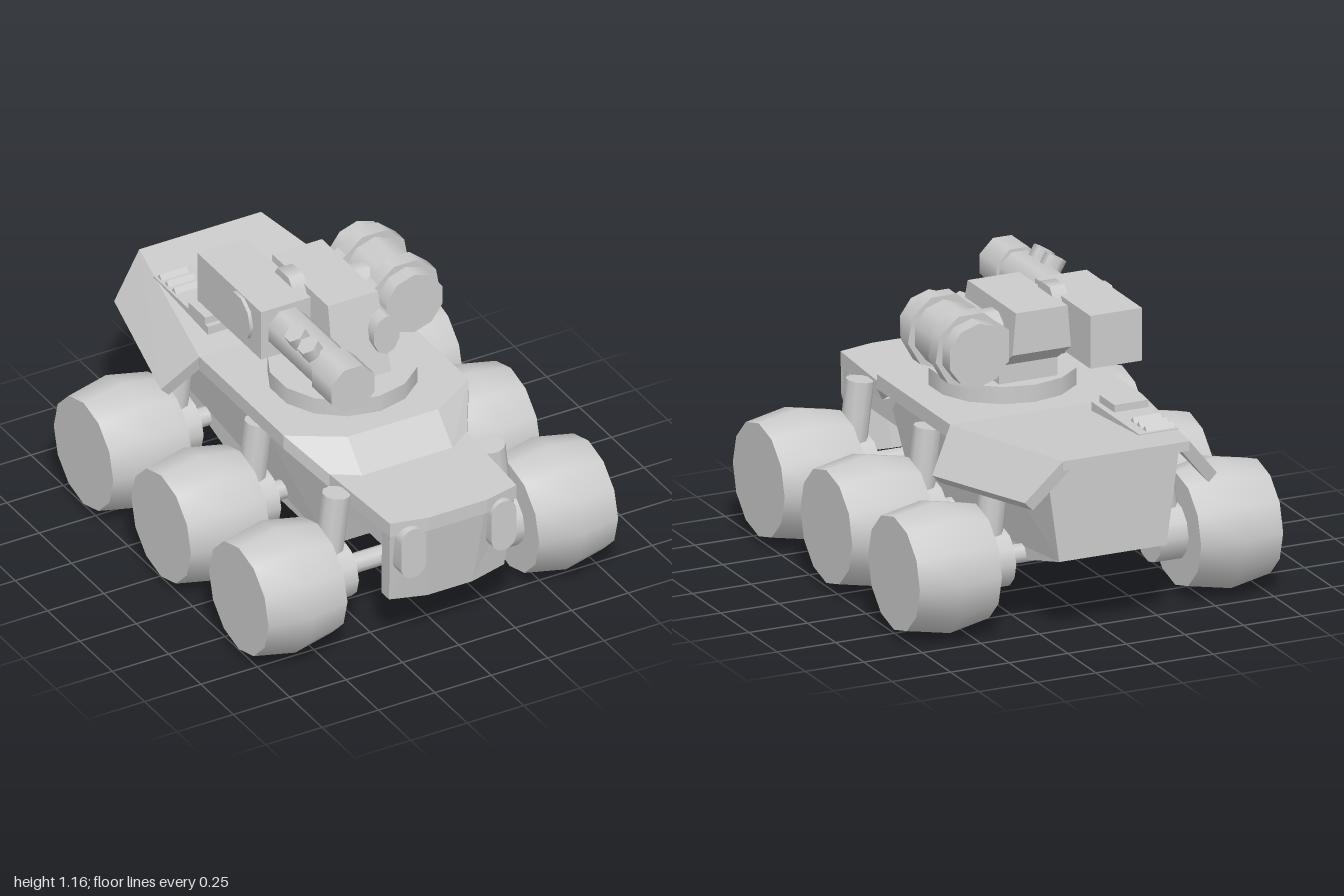
import * as THREE from 'three';
import { toCreasedNormals } from 'three/addons/utils/BufferGeometryUtils.js';

const grey = new THREE.MeshStandardMaterial({ color: 0xcccccc });
const V = (x, y, z) => new THREE.Vector3(x, y, z);

function add(parent, name, geometry, x = 0, y = 0, z = 0) {
  const mesh = new THREE.Mesh(geometry, grey);
  mesh.name = name;
  mesh.position.set(x, y, z);
  parent.add(mesh);
  return mesh;
}

function box(parent, name, x0, x1, y0, y1, z0, z1) {
  return add(parent, name, new THREE.BoxGeometry(x1 - x0, y1 - y0, z1 - z0),
    (x0 + x1) / 2, (y0 + y1) / 2, (z0 + z1) / 2);
}

// Cylinder between two points
function rod(parent, name, a, b, radius, sides = 12, turn = 0) {
  const g = new THREE.CylinderGeometry(radius, radius, a.distanceTo(b), sides);
  g.rotateY(turn);
  const mesh = add(parent, name, g);
  mesh.position.copy(a).lerp(b, 0.5);
  mesh.quaternion.setFromUnitVectors(V(0, 1, 0), b.clone().sub(a).normalize());
  return mesh;
}

// Convex armour plate: a polygon thickened along an offset
function slab(parent, name, points, offset) {
  let top = points.map(p => V(...p));
  const d = V(...offset);
  const n = top[1].clone().sub(top[0]).cross(top[2].clone().sub(top[0]));
  if (n.dot(d) > 0) top = top.reverse();
  const low = top.map(p => p.clone().add(d));
  const tris = [];
  for (let i = 0; i < top.length; i++) {
    const j = (i + 1) % top.length;
    if (i > 0 && j > 0) tris.push(top[0], top[i], top[j], low[0], low[j], low[i]);
    tris.push(top[i], low[i], low[j], top[i], low[j], top[j]);
  }
  const g = new THREE.BufferGeometry().setFromPoints(tris);
  g.computeVertexNormals();
  return add(parent, name, g);
}

// Half outline completed with its mirror image
const mirrored = half => [...half, ...half.map(([x, y, z]) => [-x, y, z]).reverse()];

// Side profile of [z, y] points swept across x, with a width rule by height and length
function sideProfile(parent, name, profile, widthAt) {
  const shape = new THREE.Shape(profile.map(p => new THREE.Vector2(...p)));
  const g = new THREE.ExtrudeGeometry(shape, { depth: 2, bevelEnabled: false });
  g.translate(0, 0, -1).rotateY(-Math.PI / 2);
  const p = g.attributes.position;
  for (let i = 0; i < p.count; i++) p.setX(i, p.getX(i) * widthAt(p.getY(i), p.getZ(i)));
  g.computeVertexNormals();
  return add(parent, name, g);
}

function buildHull(model) {
  const hull = new THREE.Group();
  hull.name = 'hull';
  model.add(hull);

  // Main body with rising tail
  sideProfile(hull, 'lowerBody',
    [[0.33, 0.69], [0.5, 0.53], [0.4, 0.2], [-0.4, 0.2], [-0.88, 0.335], [-0.88, 0.755], [-0.3, 0.71]],
    (y, z) => 0.23 + (y - 0.2) * 0.14 - (z < -0.5 ? 0.02 : 0));
  box(hull, 'noseCore', -0.24, 0.24, 0.44, 0.575, 0.4, 0.92);

  // Deck, slope and nose top
  const down = [0, -0.06, 0];
  slab(hull, 'deck', mirrored([[0.41, 0.735, -0.29], [0.41, 0.735, 0.36], [0.2, 0.735, 0.49]]), down);
  slab(hull, 'deckSlope', mirrored([[0.2, 0.735, 0.49], [0.2, 0.62, 0.6]]), down);
  slab(hull, 'noseTop', mirrored([[0.2, 0.62, 0.6], [0.305, 0.62, 0.53], [0.28, 0.62, 0.955], [0.13, 0.62, 0.99]]), down);
  slab(hull, 'rearDeck', mirrored([[0.41, 0.735, -0.29], [0.27, 0.79, -1]]), [0, -0.04, 0]);
  slab(hull, 'nosePlate', mirrored([[0.13, 0.62, 0.99], [0.1, 0.225, 0.93]]), [0, 0, -0.06]);

  const pill = new THREE.Shape();
  pill.absarc(0, 0.055, 0.055, 0, Math.PI);
  pill.absarc(0, -0.055, 0.055, Math.PI, Math.PI * 2);
  const lampGeometry = toCreasedNormals(
    new THREE.ExtrudeGeometry(pill, { depth: 0.07, bevelEnabled: false, curveSegments: 6 }), 0.7);

  for (const s of [1, -1]) {
    slab(hull, 'slopeCorner', [[s * 0.2, 0.735, 0.49], [s * 0.41, 0.735, 0.36],
      [s * 0.305, 0.62, 0.53], [s * 0.2, 0.62, 0.6]], down);
    slab(hull, 'noseCheek', [[s * 0.13, 0.62, 0.99], [s * 0.28, 0.62, 0.955],
      [s * 0.255, 0.24, 0.905], [s * 0.1, 0.225, 0.93]], [0, 0, -0.06]);
    slab(hull, 'rearFlap', [[s * 0.41, 0.735, -0.29], [s * 0.53, 0.575, -0.38],
      [s * 0.41, 0.625, -0.95], [s * 0.27, 0.79, -1]], [-s * 0.035, -0.035, 0]);
    add(hull, 'headlight', lampGeometry, s * 0.2, 0.485, 0.93);
  }

  // Louvred vent on the rear deck
  box(hull, 'ventBox', -0.31, -0.14, 0.68, 0.78, -0.82, -0.4);
  box(hull, 'ventHatch', -0.31, -0.165, 0.75, 0.81, -0.55, -0.42);
  for (const z of [-0.68, -0.735, -0.79])
    slab(hull, 'louvre', [[-0.3, 0.775, z + 0.02], [-0.3, 0.8, z], [-0.3, 0.775, z - 0.02]], [0.12, 0, 0]);
}

function buildWheels(model) {
  // Barrel-shaped tyre
  const g = new THREE.CylinderGeometry(0.23, 0.23, 0.35, 12, 2);
  const p = g.attributes.position;
  for (let i = 0; i < p.count; i++) {
    if (Math.abs(p.getY(i)) < 0.01) {
      p.setX(i, p.getX(i) * 0.264 / 0.23);
      p.setZ(i, p.getZ(i) * 0.264 / 0.23);
    }
  }
  g.rotateZ(Math.PI / 2);
  const tyre = toCreasedNormals(g, 0.7);

  for (const z of [0.65, 0.05, -0.55]) {
    const axle = new THREE.Group();
    axle.name = 'axleSet';
    axle.position.set(0, 0.268, z);
    model.add(axle);
    rod(axle, 'axle', V(-0.35, 0, 0), V(0.35, 0, 0), 0.04, 8);
    for (const s of [1, -1]) {
      add(axle, 'wheel', tyre, s * 0.6, 0, 0);
      rod(axle, 'hub', V(s * 0.31, 0, 0), V(s * 0.44, 0, 0), 0.118, 12);
      rod(axle, 'strut', V(s * 0.385, 0, 0), V(s * 0.343, 0.345, 0), 0.056, 10);
    }
  }
}

function buildTurret(model) {
  const turret = new THREE.Group();
  turret.name = 'turret';
  model.add(turret);

  rod(turret, 'turretRing', V(0, 0.72, 0.1), V(0, 0.805, 0.1), 0.292, 14);
  sideProfile(turret, 'turretBody',
    [[0.26, 0.8], [0.18, 1.13], [-0.25, 1.13], [-0.25, 0.96], [-0.13, 0.88], [-0.13, 0.8]],
    y => y > 1 ? 0.11 : 0.125);

  // Gun on the right side
  const gun = new THREE.Group();
  gun.name = 'gun';
  turret.add(gun);
  const eighth = Math.PI / 8;
  box(gun, 'breech', -0.355, -0.135, 0.915, 1.13, -0.4, 0.09);
  rod(gun, 'barrel', V(-0.24, 1.025, 0.05), V(-0.24, 1.025, 0.47), 0.09, 8, eighth);
  rod(gun, 'muzzle', V(-0.24, 1.025, 0.45), V(-0.24, 1.025, 0.6), 0.104, 8, eighth);
  for (const z of [0.28, 0.38])
    rod(gun, 'barrelBolt', V(-0.275, 1.06, z), V(-0.315, 1.13, z), 0.045, 6);
  rod(gun, 'outerCap', V(-0.37, 1.03, -0.07), V(-0.34, 1.03, -0.07), 0.1, 10);
  rod(gun, 'pivotDisc', V(-0.165, 1.022, -0.07), V(-0.1, 1.022, -0.07), 0.15, 8, eighth).scale.z = 0.75;

  // Launcher pod on the left side
  const pod = new THREE.Group();
  pod.name = 'pod';
  turret.add(pod);
  rod(pod, 'podTube', V(0.29, 1.0, -0.295), V(0.29, 1.0, 0.15), 0.13, 10);
  for (const z of [0.05, -0.195]) {
    rod(pod, 'podBand', V(0.29, 1.0, z - 0.033), V(0.29, 1.0, z + 0.033), 0.155, 9);
    slab(pod, 'podBracket', [[0.13, 0.93, z + 0.033], [0.13, 1.06, z + 0.033],
      [0.24, 1.14, z + 0.033], [0.24, 0.86, z + 0.033]], [0, 0, -0.066]);
  }
  rod(pod, 'podPivot', V(0.08, 1.0, -0.07), V(0.2, 1.0, -0.07), 0.095, 10);
  const sight = rod(pod, 'sightTube', V(0.105, 0.975, -0.05), V(0.105, 0.975, 0.26), 0.085, 10);
  sight.scale.x = 0.7;
}

export function createModel() {
  const model = new THREE.Group();
  model.name = 'armouredRover';
  buildHull(model);
  buildWheels(model);
  buildTurret(model);
  return model;
}
